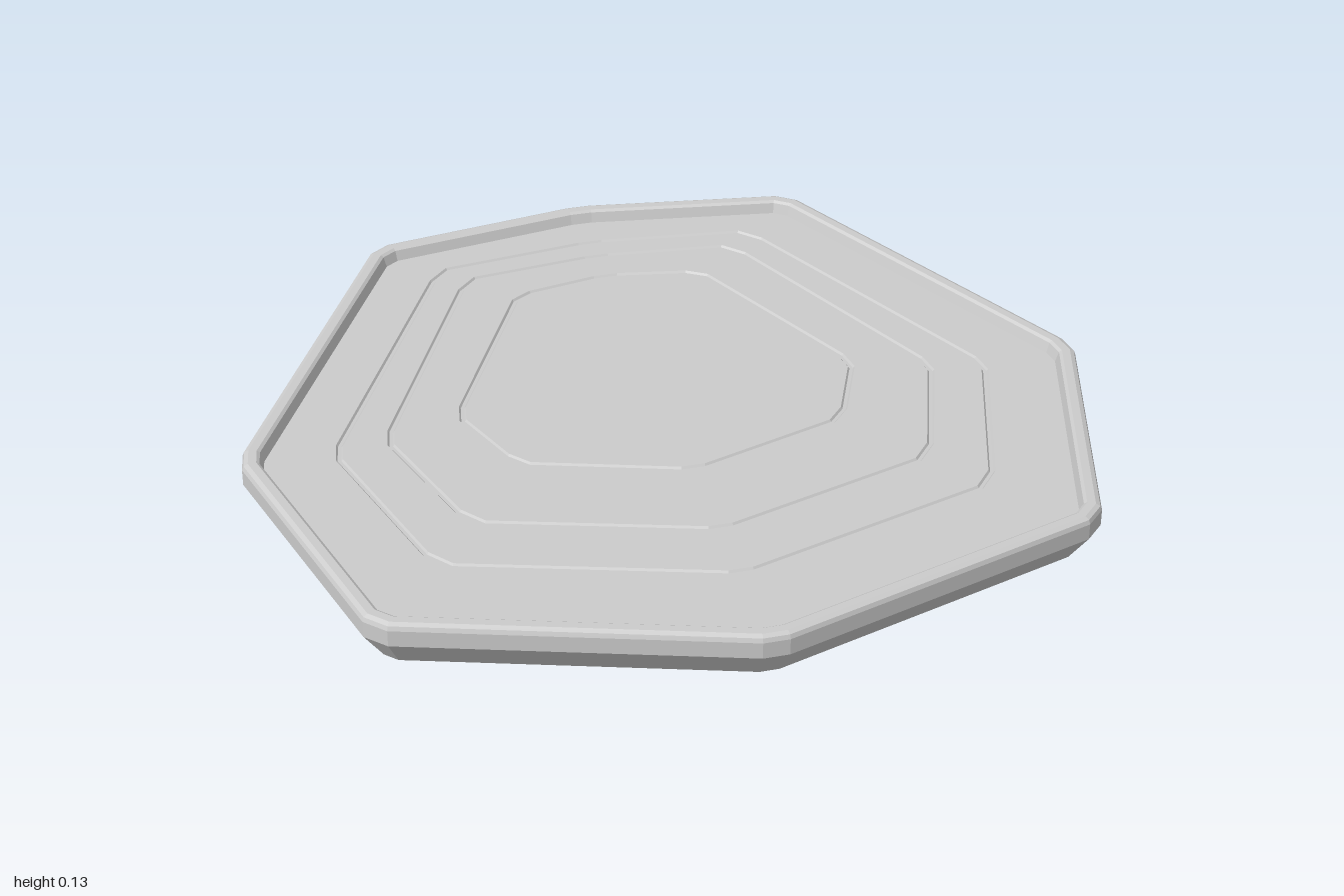
import * as THREE from 'three';

// Right half of each outline as [x, z], from front to back
const OUTER = [[0.03, 0.935], [0.785, 0.70], [0.83, 0.655], [1, 0.03], [0.99, -0.03], [0.56, -0.835], [0.51, -0.87], [0.03, -0.94]];
const RINGS = [
  [[0.03, 0.665], [0.61, 0.49], [0.66, 0.43], [0.785, 0.02], [0.775, -0.04], [0.43, -0.71], [0.38, -0.76], [0.03, -0.80]],
  [[0.03, 0.495], [0.51, 0.35], [0.56, 0.29], [0.66, -0.01], [0.65, -0.07], [0.37, -0.65], [0.32, -0.70], [0.03, -0.73]],
  [[0.03, 0.255], [0.365, 0.15], [0.41, 0.10], [0.48, -0.07], [0.47, -0.13], [0.25, -0.57], [0.20, -0.60], [0.03, -0.63]],
];
const FLOOR_Y = 0.1;
const GROOVE = 0.005;

// Mirror a half outline into a closed counter-clockwise one (seen from above)
const closed = (half) => [...half, ...half.map(([x, z]) => [-x, z]).reverse()];

// Loop of points at height y, inset by d with mitred corners
function loop(half, d, y) {
  const p = closed(half);
  const n = p.length;
  const inward = (a, b) => new THREE.Vector2(b[1] - a[1], a[0] - b[0]).normalize();
  return p.map((c, i) => {
    const m = inward(p[(i + n - 1) % n], c);
    const k = inward(c, p[(i + 1) % n]);
    const s = d / (1 + m.dot(k));
    return [c[0] + (m.x + k.x) * s, y, c[1] + (m.y + k.y) * s];
  });
}

// Skin a list of loops, optionally closing the last one
function loft(name, loops, cap, material) {
  const pos = [];
  const n = loops[0].length;
  for (let k = 0; k + 1 < loops.length; k++) {
    for (let i = 0; i < n; i++) {
      const j = (i + 1) % n;
      const [a, b, c, d] = [loops[k][i], loops[k][j], loops[k + 1][j], loops[k + 1][i]];
      pos.push(...a, ...b, ...c, ...a, ...c, ...d);
    }
  }
  if (cap) {
    const last = loops[loops.length - 1];
    const centre = [0, last[0][1], -0.15];
    last.forEach((a, i) => pos.push(...centre, ...a, ...last[(i + 1) % n]));
  }
  const geometry = new THREE.BufferGeometry();
  geometry.setAttribute('position', new THREE.Float32BufferAttribute(pos, 3));
  geometry.computeVertexNormals();
  const mesh = new THREE.Mesh(geometry, material);
  mesh.name = name;
  return mesh;
}

export function createModel() {
  const group = new THREE.Group();
  group.name = 'facetedTray';
  const material = new THREE.MeshStandardMaterial({ color: 0xcccccc, flatShading: true, side: THREE.DoubleSide });
  const outer = (profile) => profile.map(([d, y]) => loop(OUTER, d, y));

  // Flared skirt, open underneath
  group.add(loft('skirt', outer([[0.05, 0], [0, 0.075]]), false, material));

  // Upright edge, bevelled rim and the step down to the floor
  group.add(loft('rim', outer([
    [0, 0.075], [0, 0.115], [0.004, 0.125], [0.014, 0.13],
    [0.033, 0.13], [0.04, 0.125], [0.048, FLOOR_Y],
  ]), false, material));

  // Thin floor with three shallow nested grooves
  const floor = [loop(OUTER, 0.048, FLOOR_Y)];
  for (const ring of RINGS) {
    floor.push(
      loop(ring, 0, FLOOR_Y), loop(ring, 0.004, FLOOR_Y - GROOVE),
      loop(ring, 0.012, FLOOR_Y - GROOVE), loop(ring, 0.016, FLOOR_Y),
    );
  }
  group.add(loft('floor', floor, true, material));
  return group;
}
